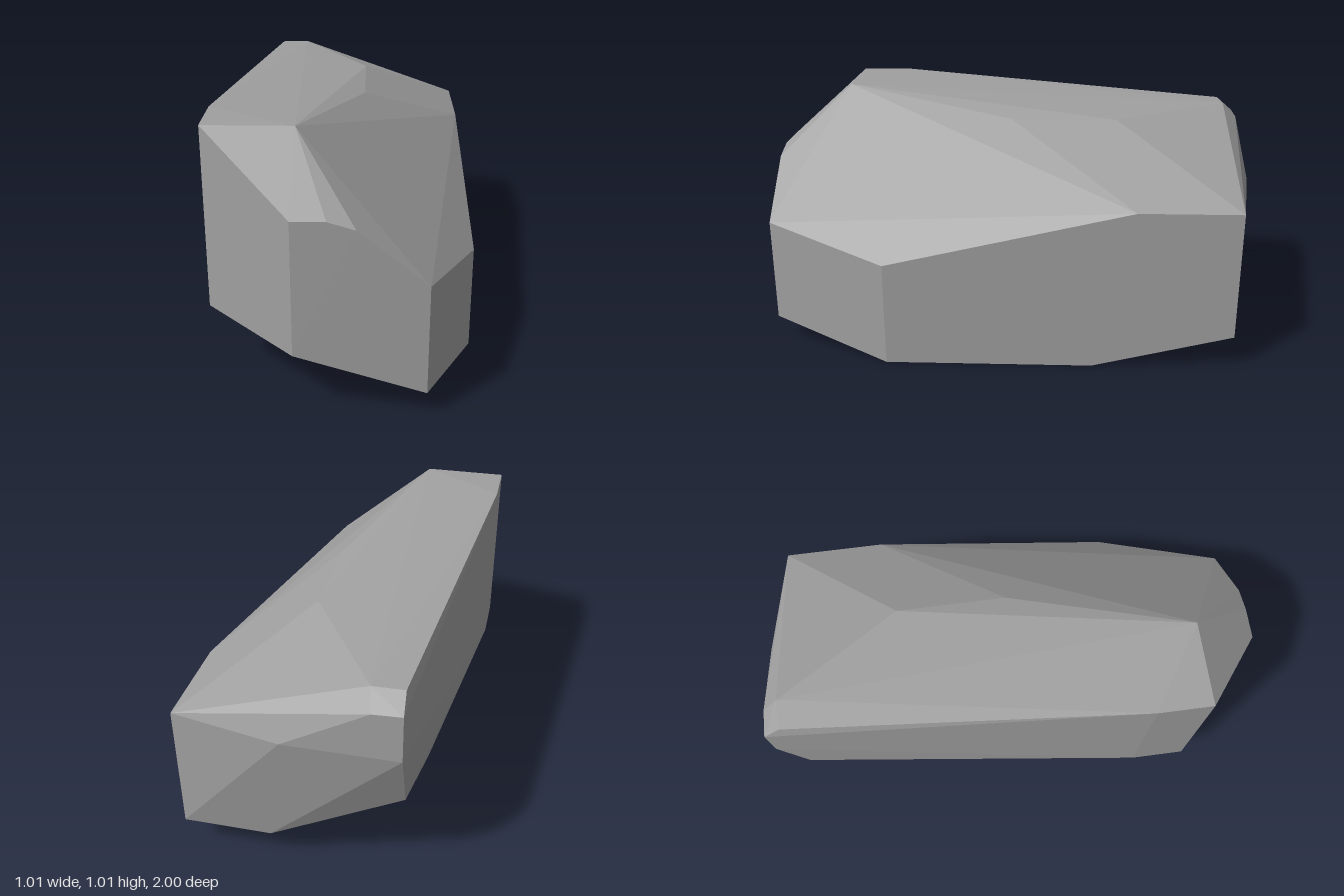
import * as THREE from 'three';
import { ConvexGeometry } from 'three/addons/geometries/ConvexGeometry.js';

export function createModel() {
  const group = new THREE.Group();
  group.name = 'rock';
  const stone = new THREE.MeshStandardMaterial({ color: 0xa0a0a0, flatShading: true });
  stone.name = 'grey stone';

  // Corners of the faceted boulder, grouped by the side they bound
  const front = [
    [-0.175, 0.77, 1], [-0.05, 0.77, 1], [0.05, 0.74, 1],
    [0.305, 0.53, 0.995], [0.305, 0.1, 0.995], [-0.175, 0.25, 1],
  ];
  const top = [
    [-0.51, 1.01, 0.72], [-0.17, 1.01, 0.72], [-0.51, 1.01, 0.5],
    [0.07, 0.92, 0], [0.07, 0.92, -0.44], [-0.24, 0.922, -0.935], [-0.36, 0.92, -0.93],
  ];
  const plusX = [
    [0.505, 0.43, 0.5], [0.505, 0.665, -0.5], [0.505, 0.665, -0.91],
    [0.505, 0, 0.5], [0.505, 0, -0.34], [0.505, 0.14, -0.91],
  ];
  const minusX = [
    [-0.51, 0.29, 0.72], [-0.51, 0.29, 0.5], [-0.365, 0.14, -0.33], [-0.365, 0.42, -0.91],
  ];
  const back = [
    [-0.365, 0.86, -1], [-0.255, 0.855, -1], [0.07, 0.67, -1],
    [-0.365, 0.67, -1], [0.155, 0.14, -0.91],
  ];

  // The boulder is the convex hull of its corners
  const corners = [...front, ...top, ...plusX, ...minusX, ...back];
  const boulder = new THREE.Mesh(
    new ConvexGeometry(corners.map((p) => new THREE.Vector3(...p))), stone);
  boulder.name = 'boulder';
  group.add(boulder);
  return group;
}
